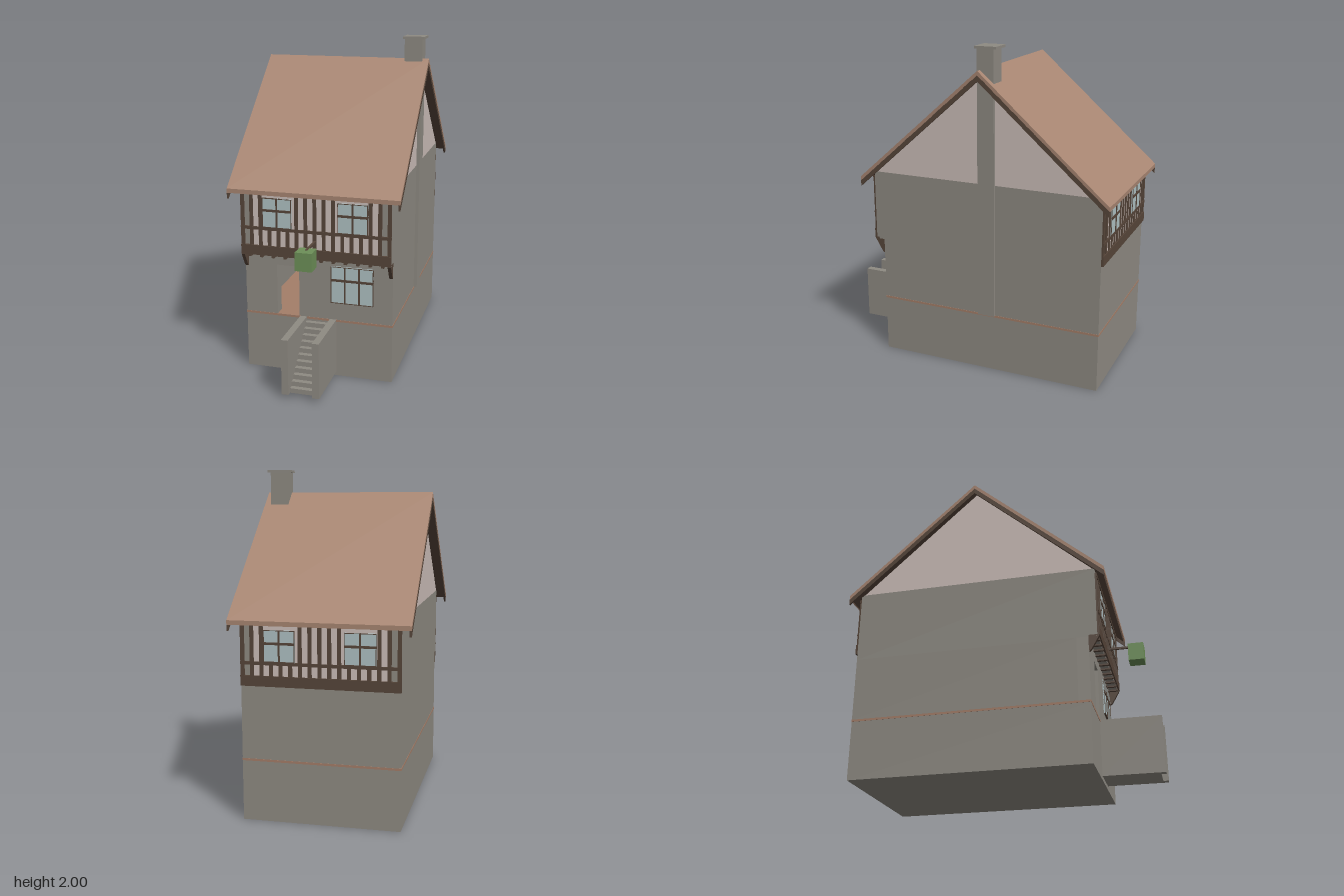
import * as THREE from 'three';

const paint = (name, color) => {
  const m = new THREE.MeshStandardMaterial({ color });
  m.name = name;
  return m;
};

export function createModel() {
  const house = new THREE.Group();
  house.name = 'timberFramedHouse';
  const stone = paint('stone', 0x8f8b83);
  const plaster = paint('plaster', 0xcdbfba);
  const timber = paint('darkTimber', 0x57463a);
  const tile = paint('roofTile', 0xa88672);
  const clay = paint('terracotta', 0xa47e69);
  const glass = paint('windowGlass', 0xb0c2c4);
  const green = paint('greenLantern', 0x6d9058);

  const add = (name, geo, mat, parent = house) => {
    const m = new THREE.Mesh(geo, mat);
    m.name = name;
    parent.add(m);
    return m;
  };
  // Box given by its limits on each axis
  const box = (name, mat, x0, x1, y0, y1, z0, z1, parent) => {
    const g = new THREE.BoxGeometry(x1 - x0, y1 - y0, z1 - z0);
    g.translate((x0 + x1) / 2, (y0 + y1) / 2, (z0 + z1) / 2);
    return add(name, g, mat, parent);
  };
  // Side profile of [z, y] points, extruded from x0 to x1
  const profile = (name, mat, pts, x0, x1, parent) => {
    const s = new THREE.Shape(pts.map(p => new THREE.Vector2(p[0], p[1])));
    const g = new THREE.ExtrudeGeometry(s, { depth: x1 - x0, bevelEnabled: false });
    g.rotateY(-Math.PI / 2).translate(x1, 0, 0);
    return add(name, g, mat, parent);
  };

  const L = -0.46, R = 0.455, B = -0.86, F = 0.56;

  // Stone basement and floor slab, showing as a thin band
  box('basement', stone, L, R, 0, 0.352, B, F);
  box('floorSlab', clay, L - 0.002, R + 0.002, 0.352, 0.365, B - 0.002, F + 0.002);

  // Hollow ground storey with an open doorway
  const front = new THREE.Shape();
  front.moveTo(L, 0.365).lineTo(-0.26, 0.365).lineTo(-0.26, 0.68).lineTo(-0.12, 0.68);
  front.lineTo(-0.12, 0.365).lineTo(R, 0.365).lineTo(R, 0.75).lineTo(L, 0.75);
  const frontGeo = new THREE.ExtrudeGeometry(front, { depth: 0.07, bevelEnabled: false });
  add('groundFrontWall', frontGeo.translate(0, 0, F - 0.07), stone);
  box('groundRightWall', stone, L, L + 0.07, 0.365, 0.75, B, F - 0.07);
  box('groundLeftWall', stone, R - 0.07, R, 0.365, 0.75, B, F - 0.07);
  box('groundBackWall', stone, L + 0.07, R - 0.07, 0.365, 0.75, B, B + 0.07);
  box('innerWallPanel', clay, L + 0.07, R - 0.07, 0.52, 0.75, B + 0.07, B + 0.078);

  // Upper storey, overhanging at the front, and plaster gable
  box('upperStorey', stone, L, R, 0.75, 1.19, B, 0.612);
  profile('gable', plaster, [[0.6, 1.19], [-0.12, 1.83], [-0.84, 1.19]], L, R);

  // Window: glass plate, frame and glazing bars, facing +z
  const makeWindow = (name, w, h, columns, barY, parent) => {
    const g = new THREE.Group();
    g.name = name;
    parent.add(g);
    box('glass', glass, -w / 2, w / 2, 0, h, 0, 0.008, g);
    for (const s of [-1, 1]) {
      const e = s * (w / 2 - 0.002);
      box('frameSide', timber, e - 0.002, e + 0.002, 0, h, 0, 0.011, g);
      const y = s < 0 ? 0.002 : h - 0.002;
      box('frameRail', timber, -w / 2, w / 2, y - 0.002, y + 0.002, 0, 0.011, g);
    }
    for (let i = 1; i < columns; i++) {
      const x = -w / 2 + (w * i) / columns;
      box('mullion', timber, x - 0.005, x + 0.005, 0, h, 0, 0.013, g);
    }
    box('transom', timber, -w / 2, w / 2, barY - 0.007, barY + 0.007, 0, 0.013, g);
    return g;
  };
  makeWindow('groundWindow', 0.26, 0.23, 3, 0.145, house).position.set(0.21, 0.475, F);

  // Timber framing with plaster infill, built facing +z
  const makeFraming = (name, beamY) => {
    const g = new THREE.Group();
    g.name = name;
    house.add(g);
    box('infill', plaster, -0.39, 0.39, beamY, 1.165, 0, 0.004, g);
    box('sillBeam', timber, -0.4575, 0.4575, beamY, beamY + 0.06, 0, 0.014, g);
    box('middleRail', timber, -0.4575, 0.4575, 0.912, 0.93, 0, 0.012, g);
    box('topPlate', timber, -0.4575, 0.4575, 1.14, 1.16, 0, 0.012, g);
    for (let i = 0; i <= 16; i++) {
      const x = -0.446 + (0.892 * i) / 16;
      const behindWindow = Math.abs(Math.abs(x) - 0.23) < 0.095;
      box('stud', timber, x - 0.011, x + 0.011, beamY + 0.05, behindWindow ? 0.92 : 1.15, 0, 0.01, g);
    }
    for (const s of [-1, 1]) {
      makeWindow('upperWindow', 0.18, 0.18, 2, 0.105, g).position.set(s * 0.23, 0.93, 0.004);
    }
    return g;
  };
  makeFraming('frontFraming', 0.755).position.set(-0.0025, 0, 0.612);
  const back = makeFraming('backFraming', 0.79);
  back.rotation.y = Math.PI;
  back.position.set(-0.0025, 0, B);

  // Joist ends and corner brackets under the overhang
  for (let i = 0; i < 12; i++) {
    const x = -0.41 + i * 0.074;
    box('joistEnd', timber, x - 0.009, x + 0.009, 0.74, 0.756, F, 0.62);
  }
  for (const x of [L, R - 0.02]) {
    profile('cornerBracket', timber,
      [[F, 0.76], [F, 0.7], [0.562, 0.66], [0.575, 0.67], [0.622, 0.75], [0.622, 0.76]], x, x + 0.02);
  }

  // Pitched roof: tile layer with timber bargeboards at both ends
  const chevron = (top, drop, inset) => {
    const f = 0.675 - inset, b = -0.915 + inset, ey = 1.165 - top + inset * 0.88;
    return [[f, ey], [-0.12, 1.865 - top], [b, ey],
      [b, ey - drop], [-0.12, 1.865 - top - drop], [f, ey - drop]];
  };
  profile('roofTiles', tile, chevron(0, 0.026, 0), -0.52, 0.515);
  for (const x of [-0.52, 0.503]) {
    profile('bargeboard', timber, chevron(0.024, 0.036, 0), x, x + 0.012);
  }
  profile('roofBoarding', timber, chevron(0.024, 0.012, 0.01), -0.505, 0.5);

  // Chimney stack and cap
  box('chimneyStack', stone, 0.365, 0.476, 0.365, 1.987, -0.205, -0.1);
  box('chimneyCap', stone, 0.355, 0.49, 1.985, 2, -0.225, -0.092);

  // Entrance steps between parapet walls
  for (const x of [-0.115, 0.07]) {
    box('stepParapet', stone, x, x + 0.041, 0.025, 0.365, F, 0.92);
  }
  const steps = 11;
  for (let i = 0; i < steps; i++) {
    const z = 0.89 - i * 0.03;
    box('step', stone, -0.075, 0.071, 0.025, 0.025 + (0.315 * (i + 1)) / steps, z - 0.03, z);
  }

  // Hanging lantern on its arm
  box('lanternArm', timber, -0.006, 0.006, 0.858, 0.871, 0.61, 0.79);
  box('lantern', green, -0.052, 0.048, 0.758, 0.868, 0.743, 0.838);

  return house;
}
